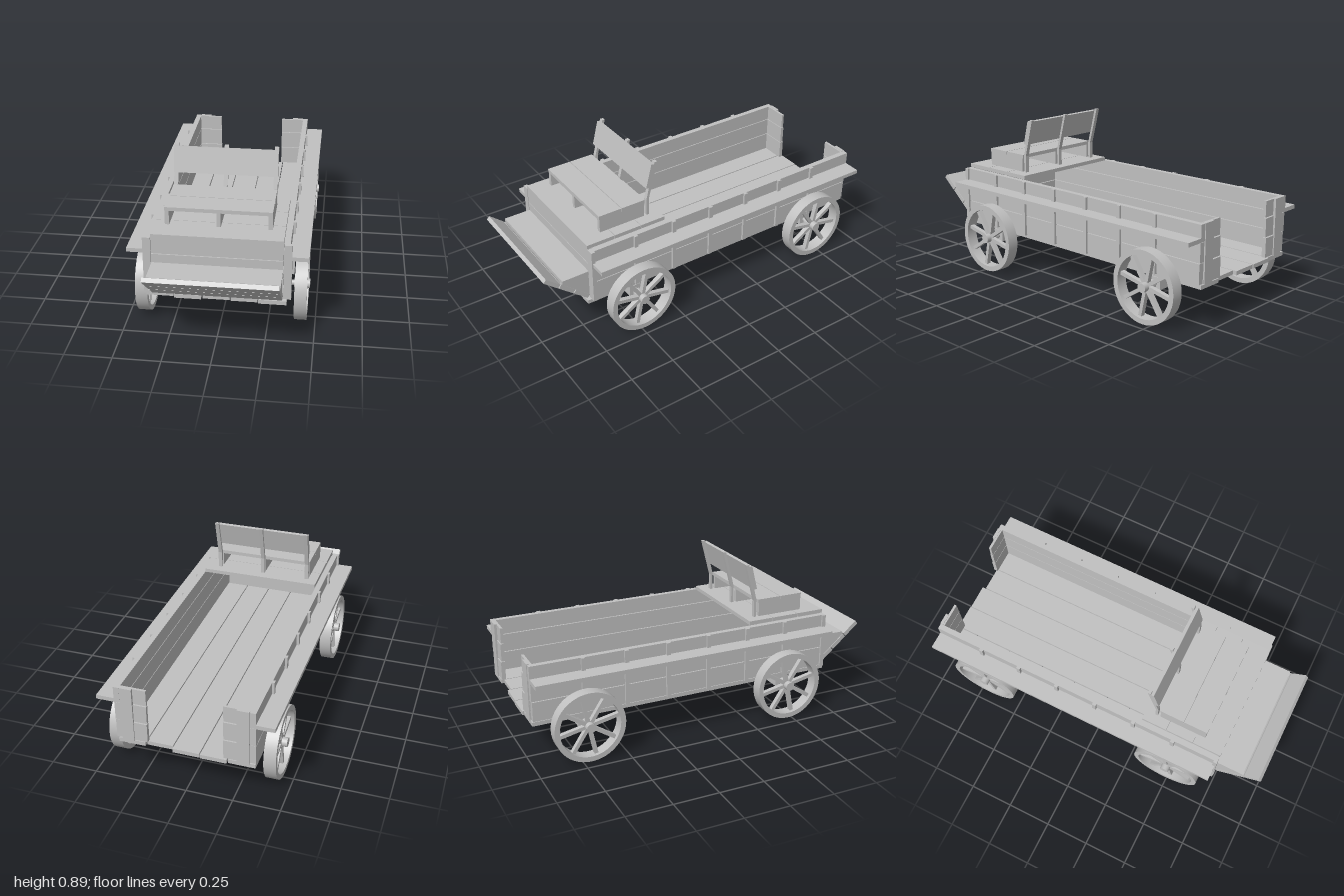
import * as THREE from 'three';
import { toCreasedNormals } from 'three/addons/utils/BufferGeometryUtils.js';

const wood = new THREE.MeshStandardMaterial({ color: 0xc0c0c0 });
wood.name = 'greyWood';

function add(parent, name, geometry) {
  const mesh = new THREE.Mesh(geometry, wood);
  mesh.name = name;
  parent.add(mesh);
  return mesh;
}

// Box given by its limits along each axis
function board(parent, name, [x0, x1], [y0, y1], [z0, z1]) {
  const mesh = add(parent, name, new THREE.BoxGeometry(Math.abs(x1 - x0), y1 - y0, Math.abs(z1 - z0)));
  mesh.position.set((x0 + x1) / 2, (y0 + y1) / 2, (z0 + z1) / 2);
  return mesh;
}

// Side outline of [z, y] points, extruded across x
function profile(parent, name, points, x0, x1) {
  const shape = new THREE.Shape(points.map(([z, y]) => new THREE.Vector2(-z, y)));
  const geometry = new THREE.ExtrudeGeometry(shape, { depth: x1 - x0, bevelEnabled: false });
  geometry.rotateY(Math.PI / 2);
  const mesh = add(parent, name, geometry);
  mesh.position.x = x0;
  return mesh;
}

function group(parent, name) {
  const g = new THREE.Group();
  g.name = name;
  parent.add(g);
  return g;
}

function makeWheel(parent, name, x, z) {
  const wheel = group(parent, name);
  const ring = [[0.195, -0.0325], [0.195, 0.0325], [0.167, 0.0325], [0.167, -0.0325], [0.195, -0.0325]];
  const rim = new THREE.LatheGeometry(ring.map(([r, y]) => new THREE.Vector2(r, y)), 48);
  rim.rotateZ(Math.PI / 2);
  add(wheel, 'rim', toCreasedNormals(rim, 0.6));
  const hub = new THREE.CylinderGeometry(0.025, 0.025, 0.085, 20);
  hub.rotateZ(Math.PI / 2);
  add(wheel, 'hub', hub);
  for (let i = 0; i < 8; i++) {
    const spoke = new THREE.BoxGeometry(0.026, 0.15, 0.02);
    spoke.translate(0, 0.096, 0);
    spoke.rotateX(i * Math.PI / 4 - 0.2);
    add(wheel, 'spoke', spoke);
  }
  wheel.position.set(x, 0.197, z);
}

export function createModel() {
  const wagon = new THREE.Group();
  wagon.name = 'wagon';
  const rows = [[0.255, 0.362], [0.366, 0.468], [0.472, 0.56]];

  // Running gear: axles, wheels and reach pole
  const gear = group(wagon, 'runningGear');
  for (const [end, z] of [['front', 0.48], ['rear', -0.705]]) {
    board(gear, end + 'AxleBeam', [-0.352, 0.361], [0.166, 0.23], [z - 0.035, z + 0.035]);
    const spindle = new THREE.CylinderGeometry(0.015, 0.015, 0.9, 16);
    spindle.rotateZ(Math.PI / 2);
    add(gear, end + 'Axle', spindle).position.set(0.005, 0.197, z);
    makeWheel(gear, end + 'LeftWheel', 0.422, z);
    makeWheel(gear, end + 'RightWheel', -0.411, z);
  }
  board(gear, 'reachPole', [-0.027, 0.033], [0.178, 0.224], [-0.67, 0.445]);

  // Floor planks with uneven ends
  const floor = group(wagon, 'floor');
  [[-0.366, -0.225, -0.99, 0.745], [-0.219, -0.08, -0.998, 0.76], [-0.075, 0.066, -0.995, 0.75],
    [0.071, 0.208, -0.975, 0.755], [0.213, 0.356, -0.99, 0.765]].forEach(([x0, x1, z0, z1]) =>
    board(floor, 'floorPlank', [x0, x1], [0.23, 0.252], [z0, z1]));

  // Side walls, posts, top shelf rails and rear corner panels
  for (const s of [1, -1]) {
    const side = group(wagon, s > 0 ? 'leftSide' : 'rightSide');
    rows.forEach((y, i) => {
      board(side, 'sidePlank', [s * 0.337, s * 0.367], y, [-0.985 - 0.003 * i, 0.738]);
      board(side, 'rearPanelPlank', [s * 0.2, s * 0.337], y, [-0.988 + 0.004 * i, -0.966]);
    });
    board(side, 'rearPanelBatten', [s * 0.27, s * 0.335], [0.25, 0.562], [-0.994, -0.976]);
    for (let i = 0; i < 6; i++) {
      const z = 0.476 - i * 0.237;
      board(side, 'sidePost', [s * 0.362, s * 0.38], [0.25, 0.56], [z - 0.011, z + 0.011]);
    }
    board(side, 'frontCornerPost', [s * 0.337, s * 0.378], [0.25, 0.56], [0.72, 0.742]);
    board(side, 'sideShelf', [s * 0.364, s * 0.463], [0.47, 0.492], [-0.99, 0.735]);
  }

  // Front wall
  const front = group(wagon, 'frontWall');
  rows.forEach(y => board(front, 'frontPlank', [-0.335, 0.335], y, [0.715, 0.74]));

  // Sloping footboard of three planks, with shelf and cheeks
  const foot = group(wagon, 'footboard');
  const slope = new THREE.Vector2(0.245, 0.207);
  for (let i = 0; i < 3; i++) {
    const a = i / 3, b = (i + 1) / 3 - 0.015;
    const z0 = 0.755 + slope.x * a, y0 = 0.25 + slope.y * a;
    const z1 = 0.755 + slope.x * b, y1 = 0.25 + slope.y * b;
    profile(foot, 'footPlank', [[z0, y0], [z1, y1], [z1 - 0.015, y1 + 0.018], [z0 - 0.015, y0 + 0.018]], -0.334, 0.334);
  }
  board(foot, 'footShelf', [-0.334, 0.334], [0.4, 0.42], [0.738, 0.893]);
  for (const x of [-0.33, 0.312]) {
    profile(foot, 'footCheek', [[0.738, 0.265], [0.75, 0.265], [0.897, 0.4], [0.738, 0.4]], x, x + 0.018);
  }

  // Seat deck across the body
  const seat = group(wagon, 'seat');
  [[0.274, 0.419], [0.422, 0.577], [0.58, 0.742]].forEach(z =>
    board(seat, 'deckBoard', [-0.335, 0.335], [0.561, 0.582], z));

  // Bench: supports, two boards, bent back posts and backrest
  [[0.355, 0.493], [0.497, 0.63]].forEach(z => board(seat, 'seatBoard', [-0.281, 0.27], [0.66, 0.68], z));
  for (const x of [-0.281, -0.016, 0.248]) {
    board(seat, 'seatSupport', [x, x + 0.022], [0.58, 0.661], [0.36, 0.628]);
    profile(seat, 'backPost', [[0.344, 0.58], [0.344, 0.676], [0.291, 0.888], [0.274, 0.888], [0.329, 0.676], [0.329, 0.58]], x, x + 0.022);
  }
  profile(seat, 'backrest', [[0.344, 0.745], [0.31, 0.88], [0.292, 0.877], [0.326, 0.742]], -0.281, 0.27);

  return wagon;
}
